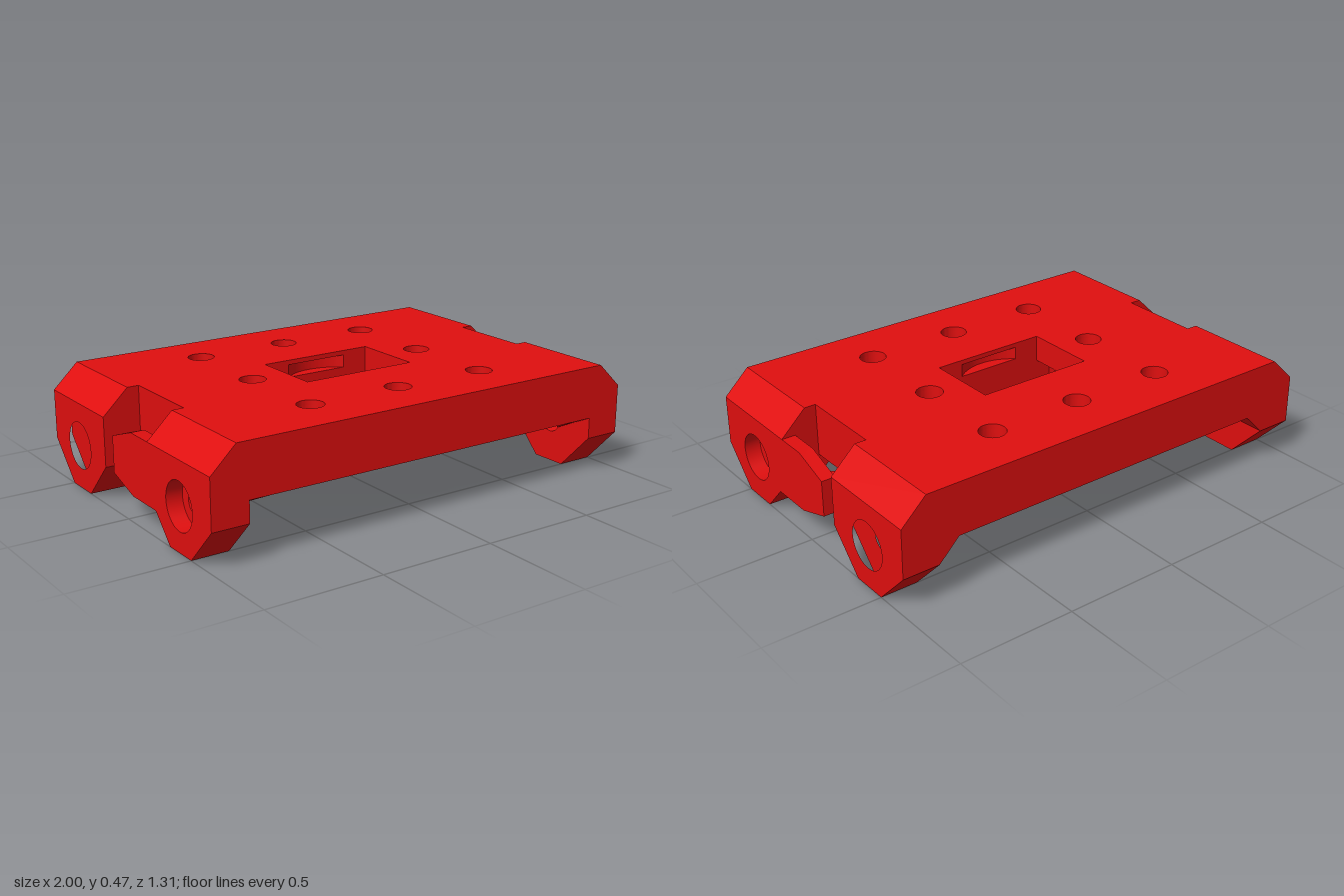
import * as THREE from 'three';
import { toCreasedNormals } from 'three/addons/utils/BufferGeometryUtils.js';

const red = new THREE.MeshStandardMaterial({ color: 0xe00f0f });
const W = 0.84, D = 0.655, TOP = 0.475, LOW = 0.25, PLATE = 0.36;
const BOLT_Y = 0.187, BOLT_Z = 0.42, BOLT_R = 0.055;

const poly = (pts) => new THREE.Shape(pts.map(([a, b]) => new THREE.Vector2(a, b)));
const circle = (x, y, r) => new THREE.Path().absarc(x, y, r, 0, Math.PI * 2, true);
const rect = (w, d) => poly([[-w, -d], [w, -d], [w, d], [-w, d]]);
const hex = (r) => poly(Array.from({ length: 6 }, (_, i) =>
  [r * Math.cos(i * Math.PI / 3), r * Math.sin(i * Math.PI / 3)]));

function extrude(shape, depth) {
  return new THREE.ExtrudeGeometry(shape, { depth, bevelEnabled: false, curveSegments: 24 });
}
// Plan outline (x, -z) raised from y0 to y1
const slabY = (shape, y0, y1) => extrude(shape, y1 - y0).rotateX(-Math.PI / 2).translate(0, y0, 0);
// Side outline (-z, y) swept from x0 to x1
const slabX = (shape, x0, x1) => extrude(shape, x1 - x0).rotateY(Math.PI / 2).translate(x0, 0, 0);
// Front outline (x, y) swept from z0 to z1
const slabZ = (shape, z0, z1) => extrude(shape, z1 - z0).translate(0, 0, z0);
const sidePoly = (pts) => poly(pts.map(([z, y]) => [-z, y]));
const box = (x0, x1, y0, y1, z0, z1) => new THREE.BoxGeometry(x1 - x0, y1 - y0, z1 - z0)
  .translate((x0 + x1) / 2, (y0 + y1) / 2, (z0 + z1) / 2);

// Mirror a part to the other side, restoring the winding
function mirrorX(geo) {
  const g = geo.index ? geo.toNonIndexed() : geo.clone();
  g.scale(-1, 1, 1);
  const p = g.attributes.position;
  const a = new THREE.Vector3(), b = new THREE.Vector3();
  for (let i = 0; i < p.count; i += 3) {
    a.fromBufferAttribute(p, i + 1);
    b.fromBufferAttribute(p, i + 2);
    p.setXYZ(i + 1, b.x, b.y, b.z);
    p.setXYZ(i + 2, a.x, a.y, a.z);
  }
  return g;
}

export function createModel() {
  const model = new THREE.Group();
  model.name = 'mountingPlate';
  const add = (name, geo) => {
    const mesh = new THREE.Mesh(toCreasedNormals(geo, 0.5), red);
    mesh.name = name;
    model.add(mesh);
  };
  const addPair = (name, geo) => {
    add(name + 'Left', geo);
    add(name + 'Right', mirrorX(geo));
  };

  // Screw positions: a 3 x 3 grid without its centre
  const screws = [];
  for (const x of [-0.42, 0, 0.42]) for (const z of [-0.42, 0, 0.42]) {
    if (x || z) screws.push([x, z]);
  }

  // Plate in three layers; the middle one has a round undercut around the window
  const windowCut = rect(0.26, 0.16);
  const undercut = new THREE.Path();
  const R = 0.215, t = Math.asin(0.16 / R);
  undercut.moveTo(0.26, -0.16);
  undercut.lineTo(0.26, 0.16);
  undercut.absarc(0, 0, R, t, Math.PI - t, false);
  undercut.lineTo(-0.26, 0.16);
  undercut.lineTo(-0.26, -0.16);
  undercut.absarc(0, 0, R, Math.PI + t, Math.PI * 2 - t, false);
  undercut.closePath();
  const layers = [['topSkin', windowCut, 0.455, TOP], ['undercutLayer', undercut, 0.4, 0.455],
    ['lowerPlate', windowCut, PLATE, 0.4]];
  for (const [name, cut, y0, y1] of layers) {
    const s = rect(W, D);
    s.holes.push(cut, ...screws.map(([x, z]) => circle(x, -z, 0.056)));
    add(name, slabY(s, y0, y1));
  }

  // Skirt walls and ribs under the plate
  for (const s of [-1, 1]) {
    const side = s > 0 ? 'front' : 'back';
    const zs = (a, b) => (s > 0 ? [a, b] : [-b, -a]);
    add(side + 'Wall', box(-W, W, LOW, PLATE, ...zs(0.6, D)));
    add(side + 'Rib', box(-0.72, 0.72, LOW, PLATE, ...zs(0.16, 0.225)));
  }
  addPair('endWall', box(0.72, W, LOW, PLATE, -0.6, 0.6));

  // Hexagonal bosses with nut pockets
  for (const [x, z] of screws) {
    const s = hex(0.18);
    s.holes.push(hex(0.11));
    add('nutBoss', slabY(s, LOW, PLATE).translate(x, 0, z));
  }

  // Legs: side outlines in (z, y), each with a counterbored bolt hole
  const legs = [
    ['frontLeg', 1, [[D, 0.37], [D, 0.16], [0.5, 0], [0.34, 0], [0.235, 0.11], [0.185, 0.11], [0.185, 0.37]]],
    ['backLeg', -1, [[-D, 0.37], [-D, 0.16], [-0.5, 0], [-0.34, 0], [-0.185, 0.16], [-0.185, 0.37]]],
  ];
  for (const [name, s, outline] of legs) {
    const c = -s * BOLT_Z;
    for (const [part, r, x0, x1] of [['Inner', BOLT_R, W, 0.93], ['Outer', 0.1, 0.93, 1]]) {
      const shape = sidePoly(outline);
      shape.holes.push(circle(c, BOLT_Y, r));
      addPair(name + part, slabX(shape, x0, x1));
    }
    const [z0, z1] = s > 0 ? [0.185, D] : [-D, -0.185];

    // Bevelled shoulder on top
    addPair(name + 'Shoulder',
      slabZ(poly([[W, 0.37], [1, 0.37], [0.89, TOP], [W, TOP]]), z0, z1));

    // Sloped gusset, notched for the bolt and sheared to 45 degrees
    const dip = Math.asin((BOLT_Y - 0.16) / BOLT_R);
    const g = new THREE.Shape();
    g.moveTo(-z1, 0.16);
    g.absarc(c, BOLT_Y, BOLT_R, Math.PI + dip, -dip, true);
    g.lineTo(-z0, 0.16);
    g.lineTo(-z0, LOW);
    g.lineTo(-z1, LOW);
    const gusset = slabX(g, 0.75, W);
    const p = gusset.attributes.position;
    for (let i = 0; i < p.count; i++) {
      if (p.getX(i) < 0.8) p.setX(i, W - (p.getY(i) - 0.16));
    }
    addPair(name + 'Gusset', gusset);
  }

  // Spring clips reaching back from the front legs, with a rounded catch
  addPair('clip', slabX(sidePoly([[0.185, 0.11], [0.05, 0.11], [-0.11, 0.16],
    [-0.11, 0.315], [0.05, 0.37], [0.185, 0.37]]), 0.94, 1));
  addPair('clipCatch', new THREE.CylinderGeometry(0.028, 0.028, 0.15, 20).translate(0.937, 0.235, -0.08));

  return model;
}
